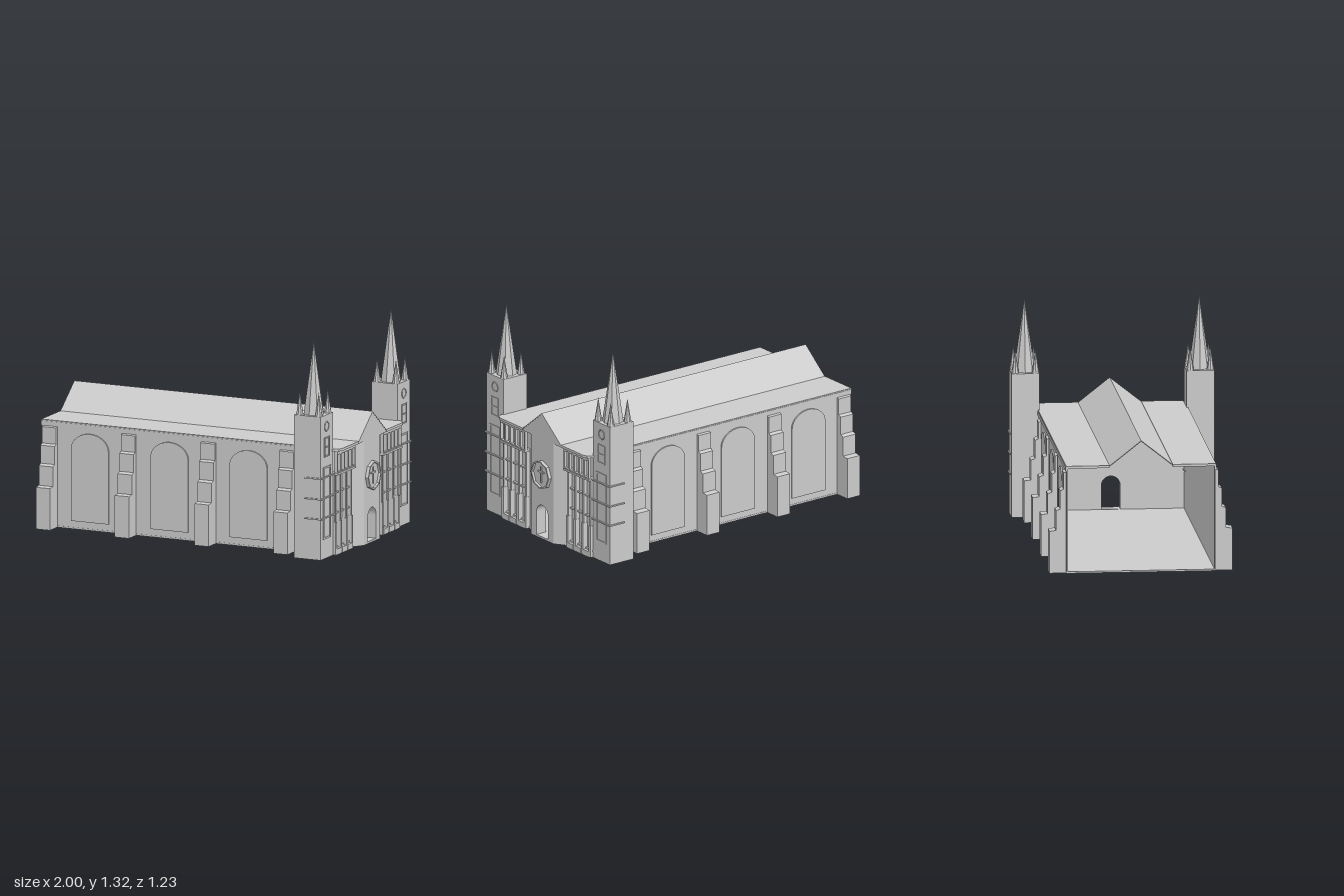
import * as THREE from 'three';

export function createModel() {
  const root = new THREE.Group();
  const mat = new THREE.MeshStandardMaterial({ color: 0xcccccc, flatShading: true, side: THREE.DoubleSide });

  const add = (name, geo, parent = root) => {
    const m = new THREE.Mesh(geo, mat);
    m.name = name;
    parent.add(m);
    return m;
  };
  // box given by its min and max on each axis
  const box = (name, x0, x1, y0, y1, z0, z1, parent) => add(name,
    new THREE.BoxGeometry(x1 - x0, y1 - y0, Math.abs(z1 - z0))
      .translate((x0 + x1) / 2, (y0 + y1) / 2, (z0 + z1) / 2), parent);
  const poly = pts => new THREE.Shape(pts.map(p => new THREE.Vector2(p[0], p[1])));
  const rect = (x0, x1, y0, y1) => poly([[x0, y0], [x1, y0], [x1, y1], [x0, y1]]);
  const extrude = (shape, depth) =>
    new THREE.ExtrudeGeometry(shape, { depth, bevelEnabled: false, curveSegments: 8 });
  // shape drawn in (-z, y), thickened along +x from x0
  const facingX = (shape, x0, depth) => extrude(shape, depth).rotateY(Math.PI / 2).translate(x0, 0, 0);
  // plan drawn in (x, z), thickened upward from y0
  const plan = (pts, y0, h) =>
    extrude(poly(pts.map(([x, z]) => [x, -z])), h).rotateX(-Math.PI / 2).translate(0, y0, 0);
  const arch = (w, y0, spring, top, cx = 0) => {
    const s = new THREE.Shape();
    s.moveTo(cx - w, y0);
    s.lineTo(cx + w, y0);
    s.lineTo(cx + w, spring);
    s.absellipse(cx, spring, w, top - spring, 0, Math.PI, false);
    s.lineTo(cx - w, y0);
    return s;
  };
  const octagon = r => poly(Array.from({ length: 8 }, (_, i) =>
    [r * Math.cos(i * Math.PI / 4), r * Math.sin(i * Math.PI / 4)]));
  const frame = (outer, inner) => { outer.holes.push(inner); return outer; };

  // hall floor, open at the rear end
  box('floor', -1, 0.93, 0, 0.01, -0.45, 0.45);

  // front wall and porch block, both pierced by the doorway
  const door = () => arch(0.057, 0.012, 0.155, 0.213);
  add('frontWall', facingX(frame(rect(-0.45, 0.45, 0, 0.64), door()), 0.91, 0.01));
  add('porch', facingX(frame(rect(-0.11, 0.11, 0, 0.65), door()), 0.92, 0.06));
  add('porchHead', facingX(rect(-0.19, 0.19, 0.635, 0.65), 0.92, 0.06));
  add('gable', facingX(poly([[-0.19, 0.65], [0.19, 0.65], [0, 0.797]]), 0.975, 0.008));

  // rose window
  const rose = new THREE.Group();
  rose.name = 'roseWindow';
  rose.position.y = 0.41;
  root.add(rose);
  add('rosePane', facingX(octagon(0.084), 0.98, 0.005), rose);
  add('roseFrame', facingX(frame(octagon(0.09), octagon(0.08)), 0.98, 0.02), rose);
  box('roseMullion', 0.98, 0.992, -0.05, 0.05, -0.005, 0.005, rose);
  box('roseTransom', 0.98, 0.992, 0.012, 0.022, -0.03, 0.03, rose);

  // stepped buttress profile in (z, y)
  const steps = [[0.45, 0], [0.55, 0], [0.55, 0.255], [0.51, 0.26], [0.51, 0.38],
    [0.485, 0.39], [0.485, 0.5], [0.465, 0.51], [0.465, 0.61], [0.45, 0.615]];

  for (const s of [1, -1]) {
    const side = new THREE.Group();
    side.name = s > 0 ? 'frontSide' : 'backSide';
    root.add(side);
    const sbox = (name, x0, x1, y0, y1, z0, z1) => box(name, x0, x1, y0, y1, s * z0, s * z1, side);

    // long wall, cornice and roofs
    sbox('sideWall', -1, 0.93, 0, 0.64, 0.44, 0.448);
    sbox('cornice', -1, 0.93, 0.62, 0.645, 0.445, 0.453);
    add('aisleRoof', plan([[-1, 0.19], [0.985, 0.19], [0.985, 0.41], [0.975, 0.435], [0.95, 0.45], [-1, 0.45]]
      .map(([x, z]) => [x, s * z]), 0.637, 0.015), side);
    add('naveRoof', facingX(poly([[-s * 0.19, 0.65], [0, 0.8], [0, 0.794], [-s * 0.182, 0.65]]), -1, 1.985), side);

    // arched blind windows
    for (const x of [-0.675, -0.145, 0.38])
      add('archedWindow', extrude(arch(0.125, 0.05, 0.49, 0.59, x), 0.016)
        .translate(0, 0, s > 0 ? 0.441 : -0.457), side);

    // buttresses
    for (const x of [-0.94, -0.415, 0.115, 0.64])
      add('buttress', facingX(poly(steps.map(([z, y]) => [-s * z, y])), x - 0.047, 0.094), side);

    // slanted porch flank
    add('porchFlank', plan([[0.92, s * 0.11], [0.98, s * 0.11], [0.92, s * 0.2]], 0, 0.637), side);

    // front bay: pilasters, plinths, string courses
    for (const z of [0.207, 0.28, 0.357, 0.428]) {
      sbox('pilaster', 0.915, 0.945, 0, 0.5, z - 0.007, z + 0.007);
      sbox('pilasterFoot', 0.915, 0.952, 0, 0.2, z - 0.009, z + 0.009);
    }
    for (let i = 0; i < 3; i++) {
      const z = 0.2435 + i * 0.0745;
      sbox('bayPlinth', 0.915, 0.955, 0, 0.035, z - 0.028, z + 0.028);
    }
    for (const y of [0.035, 0.245, 0.37]) sbox('bayCourse', 0.915, 0.935, y, y + 0.01, 0.2, 0.44);

    // gallery of five openings under the eaves
    const gallery = rect(-0.435, -0.19, 0.498, 0.637);
    for (let i = 0; i < 5; i++) {
      const z = -0.412 + i * 0.049;
      gallery.holes.push(rect(z - 0.018, z + 0.018, 0.508, 0.615));
    }
    const g = facingX(gallery, 0.945, 0.02);
    if (s < 0) g.rotateY(Math.PI).translate(1.91, 0, 0);
    add('gallery', g, side);
    sbox('gallerySill', 0.915, 0.968, 0.49, 0.502, 0.19, 0.44);

    // tower
    const tower = new THREE.Group();
    tower.name = 'tower';
    tower.position.set(0.85, 0, s * 0.525);
    side.add(tower);
    box('shaft', -0.09, 0.086, 0, 0.875, -0.084, 0.084, tower);
    for (const y of [0.25, 0.372, 0.498])
      box('towerBand', -0.02, 0.096, y - 0.004, y + 0.004, -0.092, 0.092, tower);
    add('towerNiche', facingX(frame(rect(-0.05, 0.05, 0.12, 0.56), rect(-0.04, 0.04, 0.13, 0.55)), 0.085, 0.005), tower);
    add('towerLights', facingX(frame(rect(-0.035, 0.035, 0.62, 0.74), rect(-0.027, 0.027, 0.628, 0.732)), 0.085, 0.006), tower);
    box('towerMullion', 0.085, 0.091, 0.675, 0.683, -0.03, 0.03, tower);
    add('towerRoundel', new THREE.TorusGeometry(0.028, 0.004, 6, 16).rotateY(Math.PI / 2).translate(0.086, 0.805, 0), tower);

    // spire and corner pinnacles
    add('spire', new THREE.ConeGeometry(0.064, 0.445, 8).translate(0, 1.0975, 0), tower);
    for (const x of [-1, 1]) for (const z of [-1, 1])
      add('pinnacle', new THREE.ConeGeometry(0.023, 0.145, 8).translate(x * 0.063, 0.9475, z * 0.061), tower);
  }
  return root;
}
